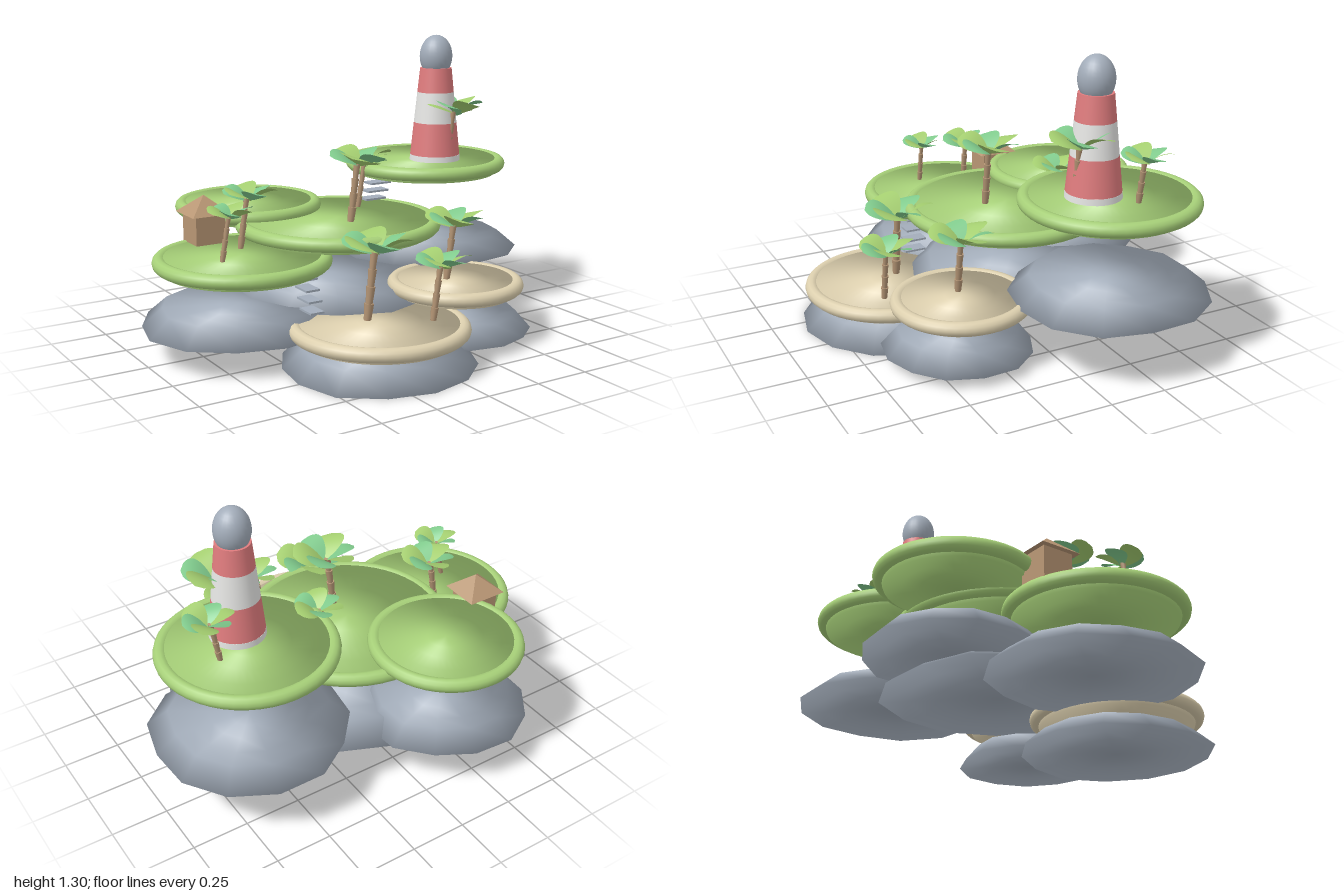
import * as THREE from 'three';

const mat = (name, color, side = THREE.FrontSide) => {
  const m = new THREE.MeshStandardMaterial({ color, side });
  m.name = name;
  return m;
};

// Closed slab turned from a profile, with pillow-soft normals over top and bottom.
// wobble(angle) scales the radius.
const slabGeometry = (rBottom, rTop, height, sides, wobble) => {
  const rings = [0, 0.25, 0.5, 0.75, 1];
  const profile = [
    ...rings.map((k) => new THREE.Vector2(rBottom * k, 0)),
    ...rings.map((k) => new THREE.Vector2(rTop * k, height)).reverse(),
  ];
  const g = new THREE.LatheGeometry(profile, sides);
  const p = g.attributes.position, rMax = Math.max(rBottom, rTop);
  for (let i = 0; i < p.count; i++) {
    const x = p.getX(i), y = p.getY(i), z = p.getZ(i);
    const n = new THREE.Vector3(x / rMax, y > height / 2 ? 0.38 : -0.38, z / rMax).normalize();
    const k = wobble(Math.atan2(z, x));
    p.setXYZ(i, x * k, y, z * k);
    g.attributes.normal.setXYZ(i, n.x, n.y, n.z);
  }
  return g;
};

export function createModel() {
  const model = new THREE.Group();
  model.name = 'floatingIslands';
  const grass = mat('grass', 0xa6cf78), sand = mat('sand', 0xdccfae), stone = mat('stone', 0xa3adba);
  const red = mat('red', 0xe07c7e), white = mat('white', 0xe6e6e4), wood = mat('wood', 0xb89674);
  const bark = mat('bark', 0xb39474);
  const leafMats = [mat('leafGreen', 0x80ca8c, THREE.DoubleSide), mat('leafLime', 0xa4ce70, THREE.DoubleSide)];

  const add = (parent, name, geometry, material, x = 0, y = 0, z = 0) => {
    const mesh = new THREE.Mesh(geometry, material);
    mesh.name = name;
    mesh.position.set(x, y, z);
    parent.add(mesh);
    return mesh;
  };

  // Islands: x, z, disc bottom, disc radius, ground, rock [x, z, bottom, radius]
  const islands = [
    [-0.56, 0.01, 0.36, 0.385, grass, [-0.565, -0.02, 0.125, 0.436]],
    [-0.28, -0.48, 0.48, 0.343, grass, [-0.275, -0.48, 0.188, 0.382]],
    [-0.035, -0.07, 0.443, 0.467, grass, [-0.045, -0.105, 0.166, 0.502]],
    [0.567, -0.237, 0.64, 0.387, grass, [0.575, -0.24, 0.266, 0.437]],
    [-0.157, 0.46, 0.115, 0.385, sand, [-0.155, 0.45, 0, 0.422]],
    [0.33, 0.335, 0.2, 0.303, sand, [0.335, 0.35, 0.045, 0.327]],
  ];
  islands.forEach(([x, z, y, r, ground, [rx, rz, ry, rr]], i) => {
    const island = new THREE.Group();
    island.name = 'island';
    model.add(island);
    // Ragged rock below, smooth disc with a round rim above
    const ragged = (a) => 0.995 + 0.022 * Math.sin(3 * a + i * 1.7) + 0.018 * Math.sin(5 * a + i * 3.4);
    add(island, 'rockBase', slabGeometry(rr, rr * 0.79, 0.078, 13, ragged), stone, rx, ry, rz);
    add(island, 'groundDisc', slabGeometry(r - 0.045, r - 0.02, 0.068, 48, () => 1), ground, x, y, z);
    const rim = new THREE.TorusGeometry(r - 0.031, 0.031, 12, 48).rotateX(Math.PI / 2);
    add(island, 'groundRim', rim, ground, x, y + 0.043, z);
  });

  // Banded lighthouse
  const tower = new THREE.Group();
  tower.name = 'lighthouse';
  tower.position.set(0.567, 0, -0.157);
  model.add(tower);
  const radiusAt = (y) => 0.119 - (y - 0.73) * 0.105;
  add(tower, 'towerBase', new THREE.CylinderGeometry(0.119, 0.122, 0.04, 32), white, 0, 0.715, 0);
  [[0.735, 0.89, red], [0.89, 1.035, white], [1.035, 1.15, red]].forEach(([a, b, m]) =>
    add(tower, 'towerBand', new THREE.CylinderGeometry(radiusAt(b), radiusAt(a), b - a, 32), m, 0, (a + b) / 2, 0));
  const dome = new THREE.SphereGeometry(1, 24, 16).scale(0.078, 0.1, 0.078);
  add(tower, 'towerDome', dome, stone, 0, 1.205, 0);

  // Hut with a pyramid roof
  const hut = new THREE.Group();
  hut.name = 'hut';
  hut.position.set(-0.605, 0, -0.275);
  model.add(hut);
  add(hut, 'hutWalls', new THREE.BoxGeometry(0.14, 0.14, 0.14), wood, 0, 0.495, 0);
  const roof = new THREE.ConeGeometry(0.132, 0.08, 4).rotateY(Math.PI / 4).toNonIndexed();
  roof.computeVertexNormals();
  add(hut, 'hutRoof', roof, wood, 0, 0.6, 0);

  // Floating steps between islands: start, end, count, plank size
  const steps = [
    [[-0.365, 0.21, 0.26], [-0.385, 0.355, 0.24], 4, [0.065, 0.009, 0.1]],
    [[0.225, 0.55, -0.18], [0.265, 0.618, -0.2], 3, [0.11, 0.009, 0.065]],
  ];
  for (const [from, to, n, size] of steps) {
    for (let i = 0; i < n; i++) {
      const p = new THREE.Vector3(...from).lerp(new THREE.Vector3(...to), i / (n - 1));
      add(model, 'step', new THREE.BoxGeometry(...size), stone, p.x, p.y, p.z);
    }
  }

  // Broad twisted leaf, one unit long, rising along +x
  const leaf = new THREE.PlaneGeometry(1, 2, 12, 4).rotateX(-Math.PI / 2);
  const lp = leaf.attributes.position;
  for (let i = 0; i < lp.count; i++) {
    const u = lp.getX(i) + 0.5, v = lp.getZ(i);
    const w = 0.47 * Math.pow(Math.max(0, Math.sin(Math.PI * Math.pow(u, 1.35))), 0.55);
    lp.setXYZ(i, u, 0.4 * Math.sin(1.9 * u) + 0.3 * v * w, v * w);
  }
  leaf.computeVertexNormals();

  // Trees: crown x, z, ground height, crown top, crown radius
  const trees = [
    [-0.645, 0.08, 0.425, 0.66, 0.103], [-0.48, -0.08, 0.425, 0.7, 0.123],
    [0.01, 0.04, 0.51, 0.835, 0.144], [0.2, -0.2, 0.51, 0.755, 0.11],
    [0.615, -0.065, 0.705, 1.01, 0.138], [0.76, -0.28, 0.705, 0.945, 0.11],
    [-0.145, 0.42, 0.18, 0.545, 0.158], [0.085, 0.57, 0.18, 0.465, 0.123],
    [0.33, 0.33, 0.265, 0.57, 0.138],
  ];
  trees.forEach(([x, z, ground, top, r], t) => {
    const tree = new THREE.Group();
    tree.name = 'tree';
    model.add(tree);
    const crownY = top - 0.53 * r;
    // Leaning trunk of flared segments
    const base = new THREE.Vector3(x - 0.045, ground, z), tip = new THREE.Vector3(x - 0.012, crownY + 0.01, z);
    const dir = tip.clone().sub(base), length = dir.length(), n = 4;
    for (let i = 0; i < n; i++) {
      const c = base.clone().addScaledVector(dir, (i + 0.5) / n);
      const w = r * (0.135 - 0.008 * i);
      const seg = add(tree, 'trunkSegment', new THREE.CylinderGeometry(w, w * 0.75, length / n, 8), bark, c.x, c.y, c.z);
      seg.quaternion.setFromUnitVectors(new THREE.Vector3(0, 1, 0), dir.clone().normalize());
    }
    // Crown of six leaves in two greens
    for (let i = 0; i < 6; i++) {
      const blade = add(tree, 'leaf', leaf, leafMats[i % 2], x, crownY, z);
      blade.rotation.y = (i * Math.PI) / 3 + t * 0.4;
      blade.scale.setScalar(r * (i % 2 ? 1.03 : 0.95));
    }
  });

  return model;
}
